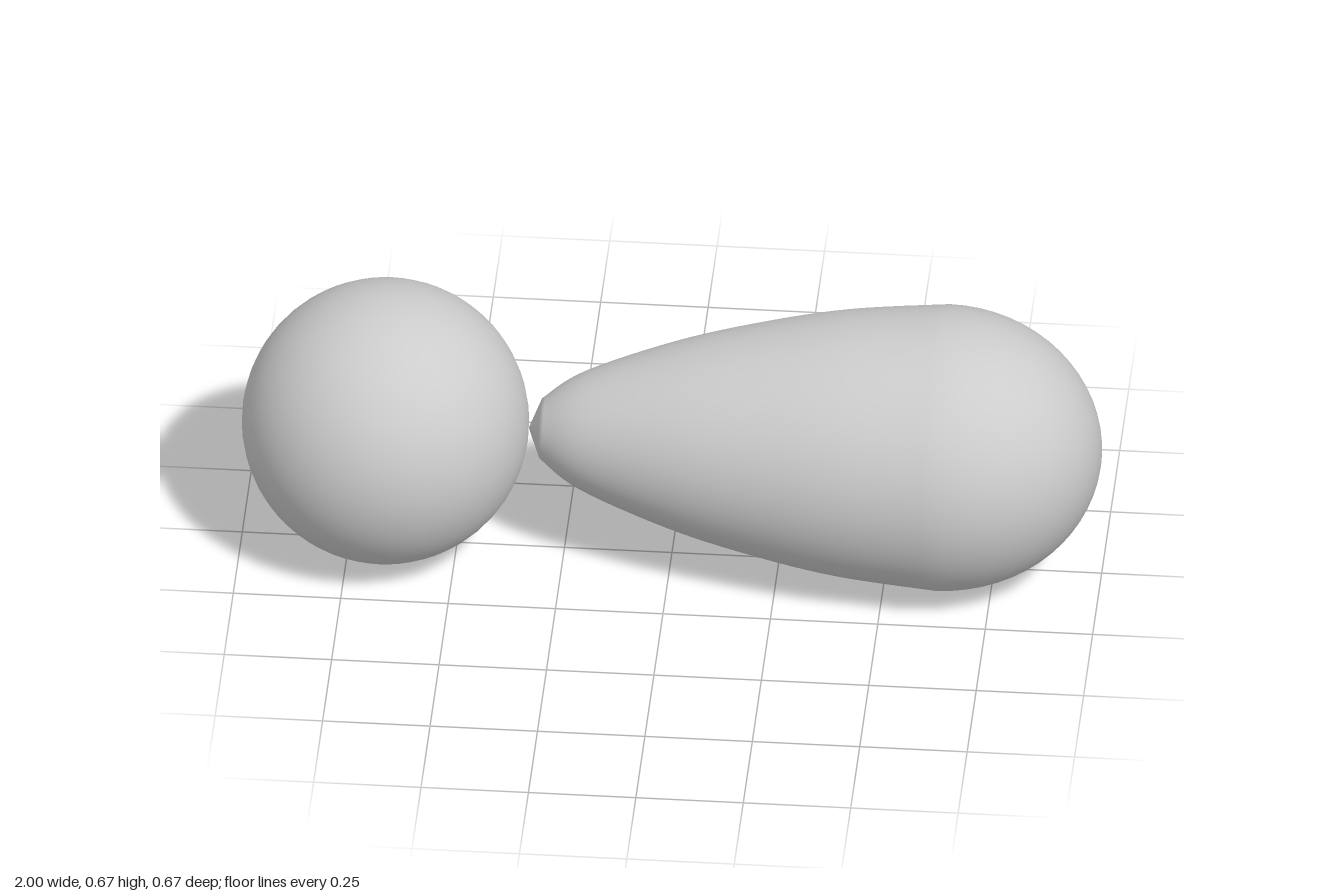
import * as THREE from 'three';

const R = 1 / 3;

export function createModel() {
  const group = new THREE.Group();
  const material = new THREE.MeshStandardMaterial({ color: 0xcccccc });

  // Round ball at the narrow end
  const ball = new THREE.Mesh(new THREE.SphereGeometry(R, 48, 32), material);
  ball.name = 'ball';
  ball.position.set(-2 * R, R, 0);
  group.add(ball);

  // Teardrop profile: (radius, distance along x), small cone at the tip
  const flank = new THREE.SplineCurve([
    [0.07, -0.305], [0.137, -0.21], [0.218, 0], [0.272, 0.2], [0.311, 0.4], [R, 0.63],
  ].map(([r, x]) => new THREE.Vector2(r, x)));
  const profile = [new THREE.Vector2(0, -R), ...flank.getPoints(30)];

  // Rounded heavy end as a quarter ellipse
  const steps = 16;
  for (let i = 1; i <= steps; i++) {
    const a = (i / steps) * Math.PI / 2;
    profile.push(new THREE.Vector2(i === steps ? 0 : R * Math.cos(a), 0.63 + 0.37 * Math.sin(a)));
  }

  const teardrop = new THREE.Mesh(new THREE.LatheGeometry(profile, 48), material);
  teardrop.name = 'teardrop';
  teardrop.rotation.z = -Math.PI / 2;
  teardrop.position.y = R;
  group.add(teardrop);

  return group;
}
